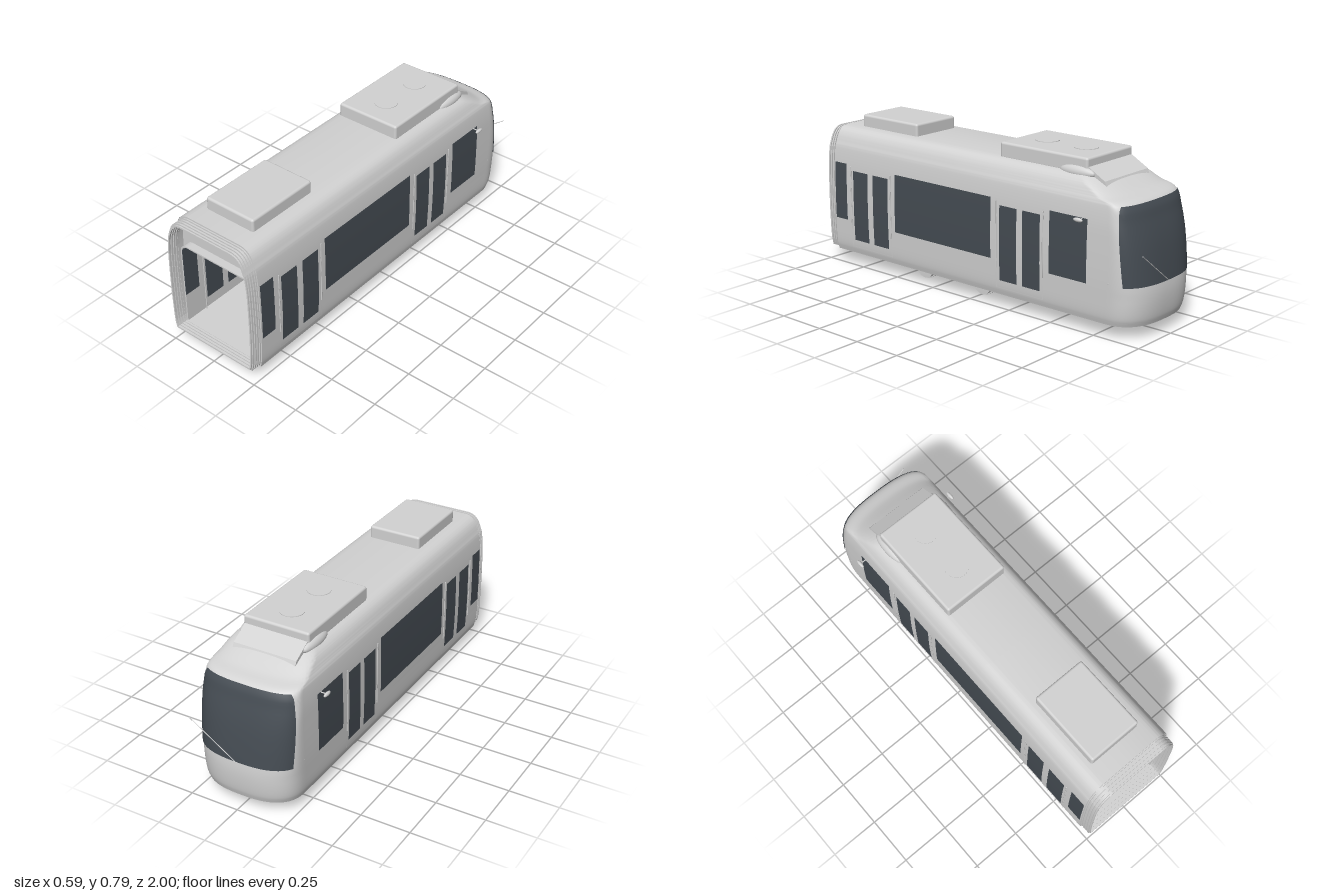
import * as THREE from 'three';
import { toCreasedNormals } from 'three/addons/utils/BufferGeometryUtils.js';
import { RoundedBoxGeometry } from 'three/addons/geometries/RoundedBoxGeometry.js';

const shellPaint = new THREE.MeshStandardMaterial({ name: 'light grey paint', color: 0xd2d2d2, side: THREE.DoubleSide });
const glass = new THREE.MeshStandardMaterial({ name: 'dark glass', color: 0x454c53, side: THREE.DoubleSide });
const screenTint = new THREE.MeshStandardMaterial({ name: 'screen blue', color: 0x44485a });

// Body rule: half width, height and nose position from sill to roof
const bodyCurve = new THREE.CatmullRomCurve3([
  [0.242, 0.065, -0.968], [0.25, 0.1, -0.978], [0.255, 0.2, -0.986], [0.257, 0.3, -0.977],
  [0.256, 0.44, -0.954], [0.253, 0.54, -0.926], [0.245, 0.615, -0.898], [0.236, 0.645, -0.82],
  [0.222, 0.68, -0.755], [0.206, 0.702, -0.715], [0.185, 0.716, -0.69], [0.16, 0.722, -0.67],
].map((p) => new THREE.Vector3(...p)));
const BACK = 0.94, POWER = 2 / 2.6;
const rows = bodyCurve.getPoints(66);

function rowAt(y) {
  let i = 0;
  while (i < rows.length - 2 && rows[i + 1].y < y) i++;
  return rows[i].clone().lerp(rows[i + 1], (y - rows[i].y) / (rows[i + 1].y - rows[i].y));
}
const noseDepth = (y) => THREE.MathUtils.lerp(0.17, 0.09, THREE.MathUtils.clamp((y - 0.2) / 0.42, 0, 1));

// Point on the rounded nose plan; angle runs 0..PI from +x to -x
function nosePoint(row, angle, out = 0) {
  const d = noseDepth(row.y), c = Math.cos(angle), s = Math.max(0, Math.sin(angle));
  return new THREE.Vector3(Math.sign(c) * Math.abs(c) ** POWER * (row.x + out), row.y,
    row.z + d - s ** POWER * (d + out));
}

function loft(grid, crease = 0.6) {
  const n = grid[0].length, index = [];
  for (let i = 0; i < grid.length - 1; i++)
    for (let j = 0; j < n - 1; j++) {
      const a = i * n + j, c = a + n;
      index.push(a, a + 1, c, a + 1, c + 1, c);
    }
  const g = new THREE.BufferGeometry().setFromPoints(grid.flat());
  g.setIndex(index);
  return toCreasedNormals(g, crease);
}

function bodyRow(row) {
  const z0 = row.z + noseDepth(row.y), side = [0, 0.5].map((t) => THREE.MathUtils.lerp(BACK, z0, t));
  const right = side.map((z) => new THREE.Vector3(row.x, row.y, z));
  const nose = Array.from({ length: 41 }, (_, i) => nosePoint(row, (i / 40) * Math.PI));
  const left = right.map((p) => new THREE.Vector3(-p.x, p.y, p.z)).reverse();
  return [...right, ...nose, ...left];
}

// Whole-body cross-section, scaled about its middle
function sectionPath(scale, Type = THREE.Shape) {
  const pick = rows.filter((_, i) => i % 3 === 0);
  const f = (x, y) => new THREE.Vector2(x * scale, 0.393 + (y - 0.393) * scale);
  return new Type([...pick.map((p) => f(p.x, p.y)), ...[...pick].reverse().map((p) => f(-p.x, p.y))]);
}
function saloonPath(w, y0, y1, r, Type = THREE.Shape) {
  const s = new Type();
  s.moveTo(-w, y0); s.lineTo(w, y0); s.lineTo(w, y1 - r);
  s.quadraticCurveTo(w, y1, w - r, y1); s.lineTo(r - w, y1);
  s.quadraticCurveTo(-w, y1, -w, y1 - r); s.lineTo(-w, y0);
  return s;
}

export function createModel() {
  const model = new THREE.Group();
  model.name = 'tram end car';
  const add = (name, geo, mat, x = 0, y = 0, z = 0) => {
    const m = new THREE.Mesh(geo, mat);
    m.name = name; m.position.set(x, y, z); model.add(m);
    return m;
  };
  const box = (name, w, h, d, x, y, z, mat = shellPaint) => add(name, new THREE.BoxGeometry(w, h, d), mat, x, y, z);
  const extrude = (name, shape, z0, z1) => add(name,
    new THREE.ExtrudeGeometry(shape, { depth: z1 - z0, bevelEnabled: false, curveSegments: 8 }), shellPaint, 0, 0, z0);
  const rod = (name, a, b, r) => {
    const p = new THREE.Vector3(...a), q = new THREE.Vector3(...b);
    const m = add(name, new THREE.CylinderGeometry(r, r, p.distanceTo(q), 8), shellPaint);
    m.position.copy(p).lerp(q, 0.5);
    m.quaternion.setFromUnitVectors(new THREE.Vector3(0, 1, 0), q.sub(p).normalize());
    return m;
  };

  // Body shell with closed underside and roof
  const grid = rows.map(bodyRow);
  const flat = (line) => line.map((p) => new THREE.Vector3(0, p.y, p.z));
  add('bodyShell', loft([flat(grid[0]), ...grid, flat(grid[grid.length - 1])]), shellPaint);

  // Windscreen wrapped round the nose
  const screen = [];
  for (let i = 0; i <= 20; i++) {
    const t = i / 20, row = rowAt(0.255 + 0.36 * t), d = noseDepth(row.y);
    const edge = THREE.MathUtils.lerp(-0.9, -0.862, t);
    const a = Math.asin(Math.min(0.95, ((row.z + d - edge) / d) ** (1 / POWER)));
    screen.push(Array.from({ length: 31 }, (_, j) => nosePoint(row, a + (Math.PI - 2 * a) * j / 30, 0.003)));
  }
  add('windscreen', loft(screen), glass);

  // Side glazing and door trim follow the curve of the wall
  const sidePatch = (name, z0, z1, y0, y1, mat, out, side) => {
    const g = [];
    for (let i = 0; i <= 8; i++) {
      const y = y0 + (y1 - y0) * i / 8, x = side * (rowAt(y).x + out);
      const line = [new THREE.Vector3(x, y, z1), new THREE.Vector3(x, y, z0)];
      g.push(side > 0 ? line : line.reverse());
    }
    add(name, loft(g), mat);
  };
  const panes = [[0.85, 0.935, 0.24, 0.54], [-0.14, 0.5, 0.24, 0.54], [-0.71, -0.495, 0.24, 0.54],
    [0.695, 0.8, 0.14, 0.51], [0.55, 0.657, 0.14, 0.51], [-0.3, -0.195, 0.14, 0.51], [-0.44, -0.335, 0.14, 0.51]];
  for (const s of [1, -1]) {
    for (const [z0, z1, y0, y1] of panes) {
      sidePatch('sideWindow', z0, z1, y0, y1, glass, 0.002, s);
      box('innerWindow', 0.004, Math.min(y1, 0.505) - y0, z1 - z0, s * 0.221, (y0 + Math.min(y1, 0.505)) / 2, (z0 + z1) / 2, glass);
    }
    for (const [z0, z1] of [[0.53, 0.817], [-0.457, -0.175]]) {
      for (const z of [z0, z1]) {
        sidePatch('doorPost', z - 0.003, z + 0.003, 0.1, 0.54, shellPaint, 0.003, s);
        rod('doorGrabRail', [s * 0.258, 0.2, z], [s * 0.258, 0.53, z], 0.003);
        rod('doorInnerPole', [s * 0.216, 0.083, z], [s * 0.216, 0.52, z], 0.003);
      }
      sidePatch('doorSill', z0, z1, 0.1, 0.106, shellPaint, 0.003, s);
    }

    // Mirrors and nose marker lamps
    rod('mirrorArm', [s * 0.245, 0.537, -0.68], [s * 0.285, 0.537, -0.68], 0.003);
    add('mirror', new THREE.SphereGeometry(1, 16, 10).scale(0.009, 0.01, 0.026), shellPaint, s * 0.286, 0.537, -0.68);
    add('markerLamp', new THREE.SphereGeometry(0.006, 10, 8), shellPaint, s * 0.252, 0.265, -0.83);

    // Fairing beside the roof unit
    add('roofCheek', new THREE.SphereGeometry(1, 20, 12).scale(0.03, 0.032, 0.1), shellPaint, s * 0.163, 0.718, -0.58);

    // Platforms over the wheels, seats and poles
    box('seatPlatform', 0.18, 0.04, 0.5, s * 0.13, 0.105, 0.18);
    for (const z of [0.373, -0.015]) {
      box('wheelCover', 0.045, 0.03, 0.1, s * 0.175, 0.14, z);
      for (const x of [0.094, 0.182]) {
        box('seatCushion', 0.082, 0.02, 0.09, s * x, 0.21, z + 0.04);
        box('seatBack', 0.082, 0.155, 0.015, s * x, 0.28, z);
      }
      box('seatPedestal', 0.1, 0.08, 0.05, s * 0.15, 0.16, z + 0.03);
    }
    for (const z of [0.48, -0.15]) rod('grabPole', [s * 0.182, 0.083, z], [s * 0.182, 0.522, z], 0.004);
  }
  rod('centrePole', [0, 0.08, 0.67], [0, 0.525, 0.67], 0.004);

  // Saloon lining, end panel and cab partition
  const lining = saloonPath(0.23, 0.07, 0.536, 0.045);
  lining.holes.push(saloonPath(0.223, 0.082, 0.529, 0.04, THREE.Path));
  extrude('saloonLining', lining, -0.72, 0.935);
  const panel = sectionPath(0.99);
  panel.holes.push(saloonPath(0.226, 0.078, 0.532, 0.042, THREE.Path));
  extrude('endPanel', panel, 0.885, 0.895);
  box('cabPartition', 0.45, 0.455, 0.01, 0, 0.305, -0.72);
  box('displayCase', 0.13, 0.048, 0.02, 0, 0.491, -0.7);
  box('displayGlass', 0.122, 0.038, 0.006, 0, 0.491, -0.689, glass);
  box('monitor', 0.11, 0.075, 0.008, -0.12, 0.397, -0.6, screenTint);
  rod('monitorStalk', [-0.14, 0.335, -0.6], [-0.14, 0.36, -0.6], 0.003);

  // Ribbed gangway frame at the open end
  for (let i = 0; i < 8; i++) {
    const rib = sectionPath(i % 2 ? 0.955 : 0.975);
    rib.holes.push(sectionPath(i % 2 ? 0.93 : 0.945, THREE.Path));
    extrude('gangwayRib', rib, 0.94 + i * 0.0075, 0.9475 + i * 0.0075);
  }
  const rim = sectionPath(0.998);
  rim.holes.push(sectionPath(0.94, THREE.Path));
  extrude('bodyEndRim', rim, 0.93, 0.941);

  // Roof units, fans and sloped fairing
  add('rearRoofUnit', new RoundedBoxGeometry(0.28, 0.075, 0.39, 3, 0.012), shellPaint, 0, 0.747, 0.645);
  add('frontRoofUnit', new RoundedBoxGeometry(0.345, 0.08, 0.515, 3, 0.012), shellPaint, 0, 0.75, -0.385);
  for (const z of [-0.505, -0.275]) add('roofFan', new THREE.CylinderGeometry(0.058, 0.058, 0.004, 32), shellPaint, 0, 0.791, z);
  const ramp = new THREE.Shape([[-0.6, 0.715], [-0.745, 0.675], [-0.735, 0.697], [-0.64, 0.75], [-0.6, 0.75]]
    .map((p) => new THREE.Vector2(...p)));
  const fairing = add('roofFairing', new THREE.ExtrudeGeometry(ramp, { depth: 0.33, bevelEnabled: false }), shellPaint, 0.165);
  fairing.rotation.y = -Math.PI / 2;

  // Wiper
  rod('wiper', [0.01, 0.255, -0.985], [0.235, 0.42, -0.998], 0.002);

  // Wheels, axles, brake discs and motors
  const drum = (name, r, w, x, y, z) => {
    add(name, new THREE.CylinderGeometry(r, r, w, 32), shellPaint, x, y, z).rotation.z = Math.PI / 2;
  };
  for (const [z, inner] of [[0.373, 0.277], [-0.015, 0.084]]) {
    for (const s of [1, -1]) {
      drum('wheel', 0.058, 0.022, s * 0.167, 0.066, z);
      drum('wheelFlange', 0.066, 0.006, s * 0.156, 0.066, z);
      drum('brakeDisc', 0.024, 0.01, s * 0.103, 0.05, inner);
      rod('brakeLink', [s * 0.103, 0.05, inner], [s * 0.15, 0.05, z], 0.004);
    }
    rod('axle', [-0.16, 0.055, z], [0.16, 0.055, z], 0.006);
    drum('motor', 0.018, 0.155, 0, 0.056, inner);
  }
  return model;
}
